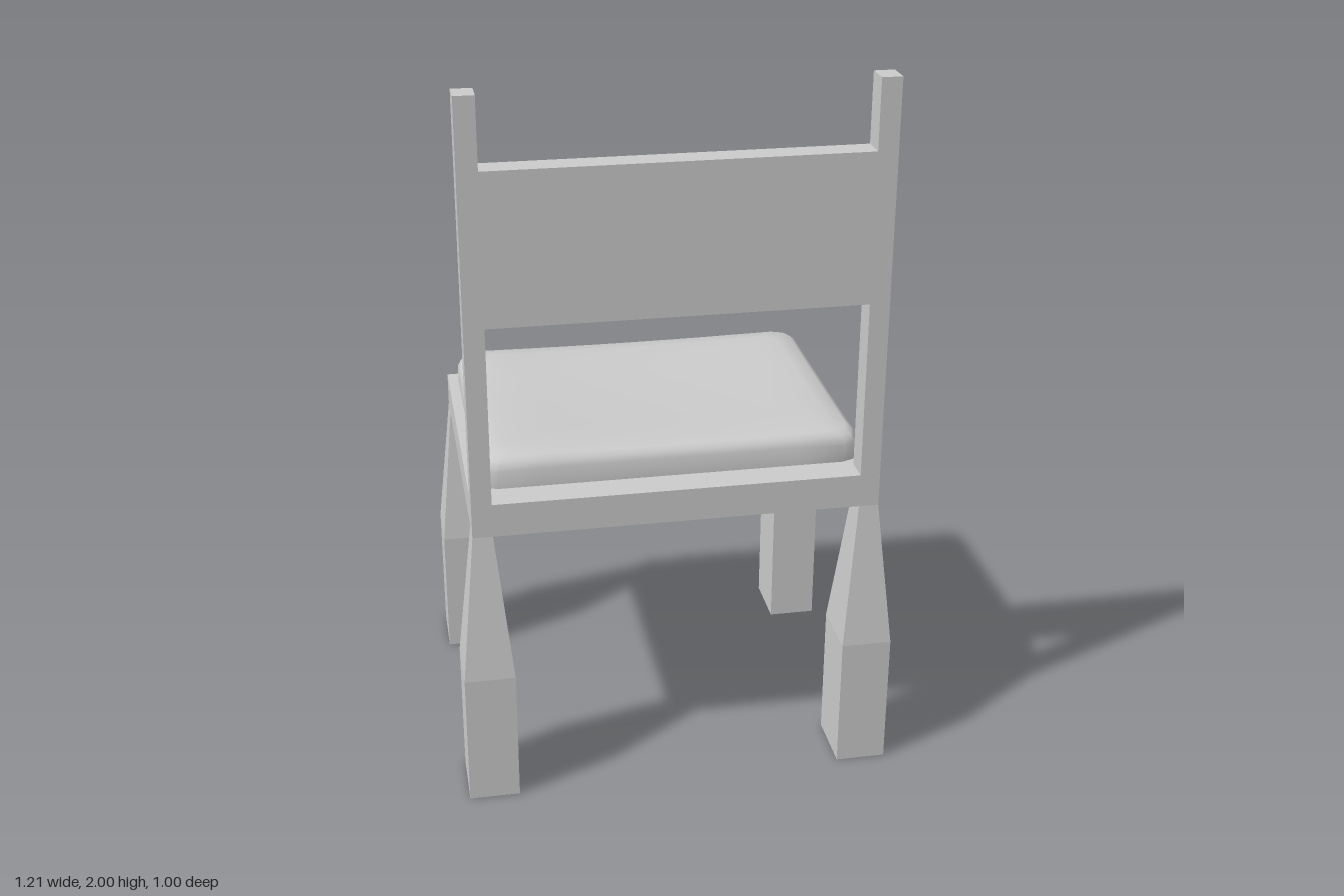
import * as THREE from 'three';
import { toCreasedNormals } from 'three/addons/utils/BufferGeometryUtils.js';

const flat = new THREE.MeshStandardMaterial({ color: 0xcccccc, flatShading: true });
const smooth = new THREE.MeshStandardMaterial({ color: 0xcccccc });

// Box given by its extents on each axis
function box(name, [x0, x1], [y0, y1], [z0, z1]) {
  const mesh = new THREE.Mesh(new THREE.BoxGeometry(x1 - x0, y1 - y0, z1 - z0), flat);
  mesh.position.set((x0 + x1) / 2, (y0 + y1) / 2, (z0 + z1) / 2);
  mesh.name = name;
  return mesh;
}

// Square block foot that tapers to the thickness of the post above
function legGeometry() {
  const geo = new THREE.BoxGeometry(1, 1, 1, 1, 2, 1);
  const p = geo.attributes.position;
  for (let i = 0; i < p.count; i++) {
    const y = p.getY(i), top = y > 0.25;
    p.setXYZ(i,
      p.getX(i) * (top ? 0.055 : 0.14),
      top ? 0.8 : y > -0.25 ? 0.385 : 0,
      p.getZ(i) * (top ? 0.072 : 0.177));
  }
  return geo;
}

// Rounded rectangle outline with subdivided straight edges
function outline(hx, hz, r) {
  const corners = [[1, 1], [-1, 1], [-1, -1], [1, -1]];
  const pts = [];
  const arc = (c, a) => [corners[c][0] * (hx - r) + r * Math.cos(a), corners[c][1] * (hz - r) + r * Math.sin(a)];
  for (let c = 0; c < 4; c++) {
    for (let k = 0; k <= 2; k++) pts.push(arc(c, (c + k / 2) * Math.PI / 2));
    const end = pts[pts.length - 1], next = arc((c + 1) % 4, (c + 1) * Math.PI / 2);
    for (let k = 1; k < 8; k++) {
      const t = k / 8;
      pts.push([end[0] + (next[0] - end[0]) * t, end[1] + (next[1] - end[1]) * t]);
    }
  }
  return pts;
}

// Cushion: stacked outlines, with the top sagging between its four corners
function cushionGeometry() {
  const HX = 0.53, HZ = 0.395;
  const rings = [ // inset, height, sag amount
    [0, 0.893, 0], [0, 0.948, 0], [0.008, 0.967, 0.2], [0.024, 0.98, 0.5],
    [0.07, 0.986, 0.9], [0.13, 0.989, 1], [0.21, 0.989, 1], [0.3, 0.988, 1],
  ];
  const sag = (x, z) => 0.009 * (Math.max(0, 1 - (x / 0.43) ** 2) + Math.max(0, 1 - (z / 0.32) ** 2));
  const pos = [], index = [];
  let n = 0;
  for (const [inset, y, s] of rings) {
    const pts = outline(HX - inset, HZ - inset, 0.05);
    n = pts.length;
    for (const [x, z] of pts) pos.push(x, y - s * sag(x, z), z);
  }
  const centre = rings.length * n;
  pos.push(0, 0.988 - sag(0, 0), 0);
  for (let k = 0; k < rings.length; k++) {
    for (let i = 0; i < n; i++) {
      const a = k * n + i, b = k * n + (i + 1) % n;
      if (k === rings.length - 1) index.push(a, centre, b);
      else index.push(a, a + n, b, b, a + n, b + n);
    }
  }
  const geo = new THREE.BufferGeometry();
  geo.setAttribute('position', new THREE.Float32BufferAttribute(pos, 3));
  geo.setIndex(index);
  return toCreasedNormals(geo, 0.6);
}

export function createModel() {
  const chair = new THREE.Group();
  chair.name = 'chair';

  // Four tapered legs
  const leg = legGeometry();
  for (const sx of [-1, 1]) {
    for (const sz of [-1, 1]) {
      const mesh = new THREE.Mesh(leg, flat);
      mesh.name = (sz > 0 ? 'backrestLeg' : 'seatEdgeLeg') + (sx > 0 ? 'Left' : 'Right');
      mesh.position.set(sx * 0.5325, 0, sz * 0.409);
      chair.add(mesh);
    }
  }

  // Seat slab, with thin rails under three edges (open below the backrest)
  chair.add(box('seatFrame', [-0.56, 0.56], [0.8, 0.895], [-0.445, 0.445]));
  chair.add(box('railLeft', [0.522, 0.543], [0.745, 0.8], [-0.375, 0.375]));
  chair.add(box('railRight', [-0.543, -0.522], [0.745, 0.8], [-0.375, 0.375]));
  chair.add(box('railSeatEdge', [-0.507, 0.507], [0.745, 0.8], [-0.425, -0.395]));

  // Backrest posts and the wide slat between them
  for (const s of [-1, 1]) {
    const x = s > 0 ? [0.505, 0.56] : [-0.56, -0.505];
    chair.add(box(s > 0 ? 'postLeft' : 'postRight', x, [0.895, 2], [0.373, 0.445]));
  }
  chair.add(box('backrestSlat', [-0.505, 0.505], [1.396, 1.81], [0.373, 0.445]));

  // Soft seat cushion
  const cushion = new THREE.Mesh(cushionGeometry(), smooth);
  cushion.name = 'cushion';
  cushion.position.z = -0.04;
  chair.add(cushion);

  return chair;
}
